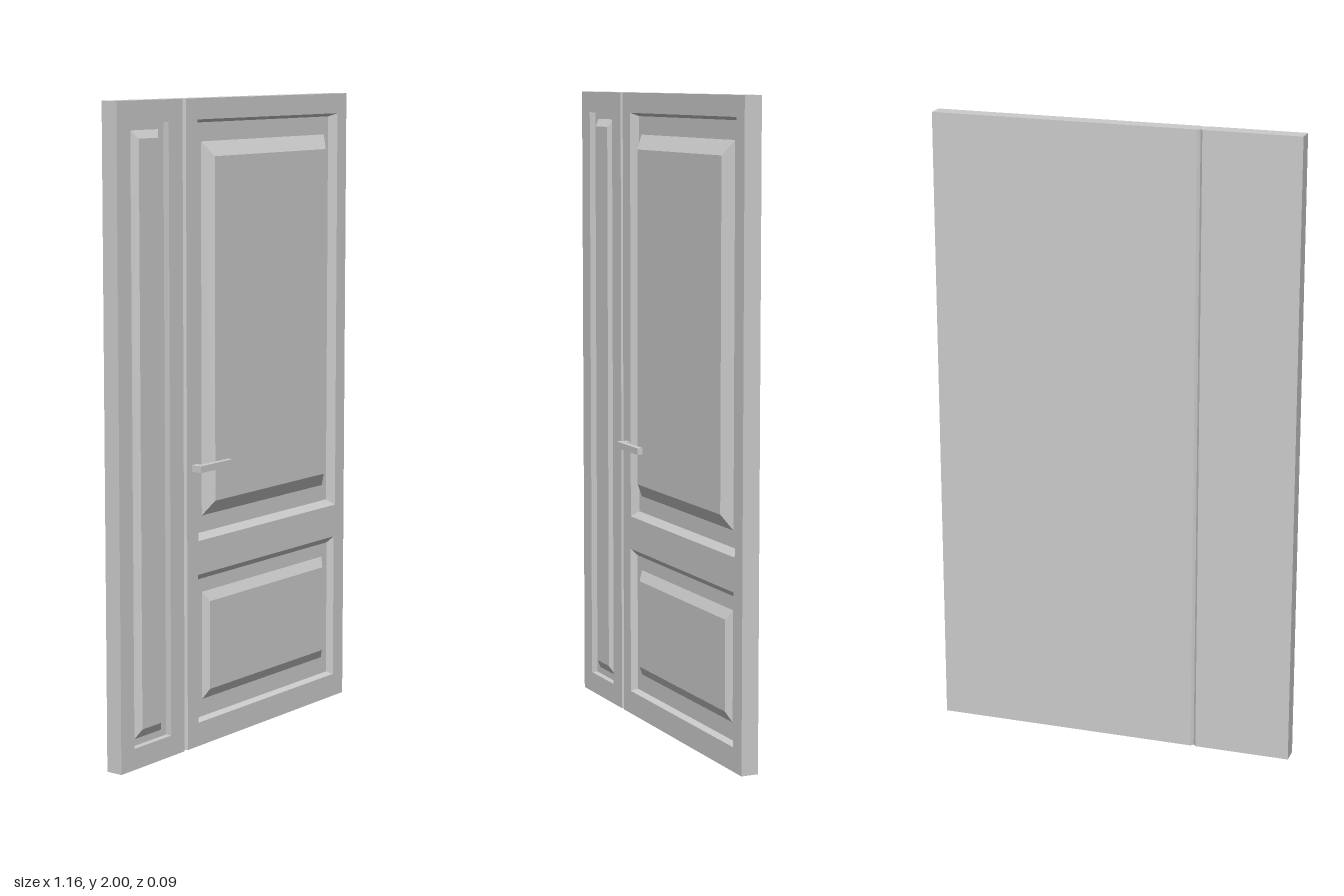
import * as THREE from 'three';

const FRONT = 0.01, BACK = -0.045, HEIGHT = 2, WIDTH = 0.58;
const RECESS = -0.01;
const material = new THREE.MeshStandardMaterial({ color: 0xcccccc });

function addMesh(group, name, geometry) {
  const mesh = new THREE.Mesh(geometry, material);
  mesh.name = name;
  group.add(mesh);
  return mesh;
}

// Flat-shaded geometry from quads, each with counter-clockwise corners
function quadGeometry(quads) {
  const pos = [];
  for (const [a, b, c, d] of quads) pos.push(...a, ...b, ...c, ...a, ...c, ...d);
  const g = new THREE.BufferGeometry();
  g.setAttribute('position', new THREE.Float32BufferAttribute(pos, 3));
  g.computeVertexNormals();
  return g;
}

const corners = ([x0, x1, y0, y1, z]) => [[x0, y0, z], [x1, y0, z], [x1, y1, z], [x0, y1, z]];

// Nested rectangles joined by mitred slopes, closed by the innermost one
function panelGeometry(rects) {
  const quads = [];
  for (let r = 0; r < rects.length - 1; r++) {
    const a = corners(rects[r]), b = corners(rects[r + 1]);
    for (let i = 0; i < 4; i++) {
      const j = (i + 1) % 4;
      quads.push([a[i], a[j], b[j], b[i]]);
    }
  }
  quads.push(corners(rects[rects.length - 1]));
  return quadGeometry(quads);
}

const rectPoints = (rect) => corners(rect).map(([x, y]) => new THREE.Vector2(x, y));

// Front face of a leaf with an opening for each panel
function faceGeometry(x0, x1, panels) {
  const shape = new THREE.Shape(rectPoints([x0, x1, 0, HEIGHT, 0]));
  for (const rects of panels) shape.holes.push(new THREE.Path(rectPoints(rects[0]).reverse()));
  return new THREE.ShapeGeometry(shape).translate(0, 0, FRONT);
}

// Panel steps: [x0, x1, y0, y1, z] from the opening inwards
const upper = [
  [-0.203, 0.53, 0.651, 1.937, FRONT],
  [-0.18, 0.506, 0.67, 1.927, RECESS],
  [-0.161, 0.482, 0.722, 1.87, RECESS],
  [-0.13, 0.452, 0.767, 1.825, 0.019],
];
const lower = [
  [-0.205, 0.524, 0.075, 0.545, FRONT],
  [-0.194, 0.512, 0.083, 0.524, RECESS],
  [-0.161, 0.482, 0.138, 0.481, RECESS],
  [-0.143, 0.464, 0.169, 0.45, 0.007],
];
const narrow = [
  [-0.518, -0.341, 0.066, 1.934, FRONT],
  [-0.518, -0.341, 0.066, 1.934, RECESS],
  [-0.494, -0.367, 0.087, 1.913, RECESS],
  [-0.476, -0.386, 0.116, 1.889, 0.007],
];

export function createModel() {
  const door = new THREE.Group();
  door.name = 'door';

  // Plan outline with a V groove front and back between the two leaves
  const g0 = -0.275, gm = -0.267, g1 = -0.259, depth = 0.009;
  const plan = [
    [-WIDTH, FRONT], [g0, FRONT], [gm, FRONT - depth], [g1, FRONT], [WIDTH, FRONT],
    [WIDTH, BACK], [g1, BACK], [gm, BACK + depth], [g0, BACK], [-WIDTH, BACK],
  ];

  // Sides, back and grooves; the two front faces are made separately
  const walls = [];
  plan.forEach(([px, pz], i) => {
    if (i === 0 || i === 3) return;
    const [qx, qz] = plan[(i + 1) % plan.length];
    walls.push([[px, 0, pz], [qx, 0, qz], [qx, HEIGHT, qz], [px, HEIGHT, pz]]);
  });
  addMesh(door, 'sidesAndBack', quadGeometry(walls));

  // Top and bottom edges
  const cap = (sign) => new THREE.ShapeGeometry(
    new THREE.Shape(plan.map(([x, z]) => new THREE.Vector2(x, sign * z)))
  ).rotateX(sign * Math.PI / 2);
  addMesh(door, 'topEdge', cap(-1).translate(0, HEIGHT, 0));
  addMesh(door, 'bottomEdge', cap(1));

  // Leaf faces and their raised panels
  addMesh(door, 'mainLeafFace', faceGeometry(g1, WIDTH, [upper, lower]));
  addMesh(door, 'sideLeafFace', faceGeometry(-WIDTH, g0, [narrow]));
  addMesh(door, 'upperPanel', panelGeometry(upper));
  addMesh(door, 'lowerPanel', panelGeometry(lower));
  addMesh(door, 'sidePanel', panelGeometry(narrow));

  // Lever handle: short stem and long grip
  const handle = new THREE.Group();
  handle.name = 'handle';
  addMesh(handle, 'handleStem', new THREE.BoxGeometry(0.025, 0.021, 0.018))
    .position.set(-0.2225, 0.882, 0.018);
  addMesh(handle, 'handleGrip', new THREE.BoxGeometry(0.16, 0.021, 0.018))
    .position.set(-0.155, 0.882, 0.036);
  door.add(handle);

  return door;
}
